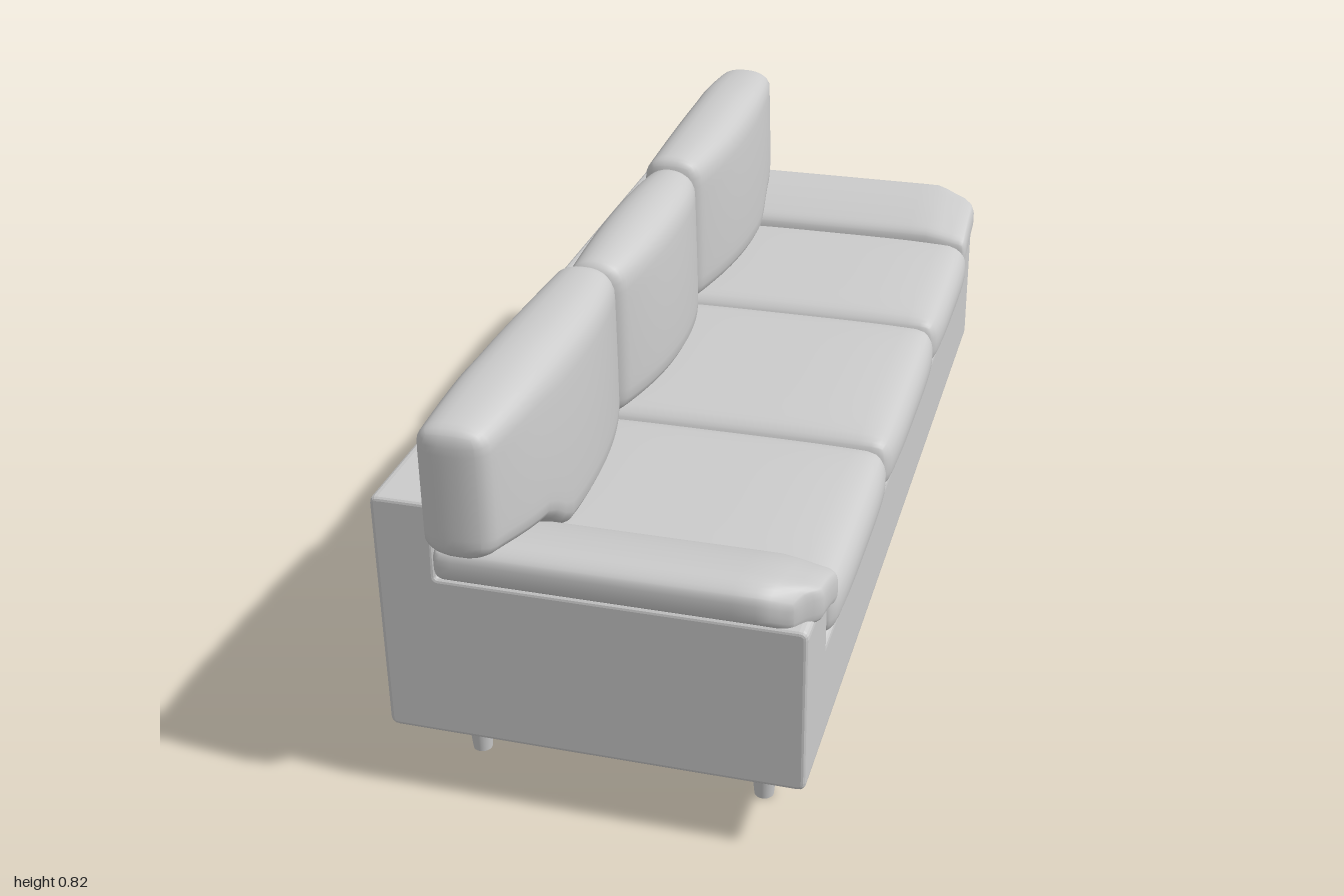
import * as THREE from 'three';
import { mergeVertices } from 'three/addons/utils/BufferGeometryUtils.js';

const grey = new THREE.MeshStandardMaterial({ color: 0xcccccc });
const smooth = THREE.MathUtils.smoothstep;

function addMesh(group, name, geometry) {
  const mesh = new THREE.Mesh(geometry, grey);
  mesh.name = name;
  group.add(mesh);
  return mesh;
}

// Rounded block between two corners, with one edge radius per axis;
// deform(p, n) may then move each point, n being its place in the block (-1..1)
function softBlock(min, max, radius, segments, deform) {
  const half = max.map((m, i) => (m - min[i]) / 2);
  const mid = max.map((m, i) => (m + min[i]) / 2);
  const geometry = new THREE.BoxGeometry(2, 2, 2, ...segments);
  const pos = geometry.attributes.position;
  for (let i = 0; i < pos.count; i++) {
    // crowd the rows towards the edges so the rounding is fine there
    const p = [pos.getX(i), pos.getY(i), pos.getZ(i)]
      .map((s, a) => half[a] * Math.sin(s * Math.PI / 2));
    const inner = p.map((c, a) => THREE.MathUtils.clamp(c, radius[a] - half[a], half[a] - radius[a]));
    const dir = p.map((c, a) => (c - inner[a]) / radius[a]);
    const len = Math.hypot(...dir);
    const local = inner.map((c, a) => c + dir[a] / len * radius[a]);
    const n = local.map((c, a) => c / half[a]);
    const out = local.map((c, a) => c + mid[a]);
    deform(out, n);
    pos.setXYZ(i, ...out);
  }
  geometry.deleteAttribute('uv');
  geometry.deleteAttribute('normal');
  const merged = mergeVertices(geometry, 1e-5);
  merged.computeVertexNormals();
  return merged;
}

// L-shaped side profile (low seat, high back) extruded across the sofa
function frameSection(seatY, z0, z1, bevel) {
  const pts = [[-0.397, 0.14], [0.375, 0.14], [0.375, seatY], [-0.285, seatY], [-0.285, 0.62], [-0.397, 0.62]]
    .map((p) => new THREE.Vector2(...p));
  const shape = new THREE.Shape();
  pts.forEach((p, i) => {
    const r = i === 3 || i === 4 ? 0.004 : 0.016;
    const toward = (q) => q.clone().sub(p).setLength(r).add(p);
    const a = toward(pts[(i + 5) % 6]);
    const b = toward(pts[(i + 1) % 6]);
    if (i === 0) shape.moveTo(a.x, a.y); else shape.lineTo(a.x, a.y);
    shape.quadraticCurveTo(p.x, p.y, b.x, b.y);
  });
  shape.closePath();
  const geometry = new THREE.ExtrudeGeometry(shape, {
    depth: z1 - z0 - 2 * bevel, curveSegments: 4, bevelEnabled: bevel > 0,
    bevelThickness: bevel, bevelSize: bevel, bevelOffset: -bevel, bevelSegments: 3,
  });
  return geometry.translate(0, 0, z0 + bevel);
}

export function createModel() {
  const sofa = new THREE.Group();
  sofa.name = 'sofa';

  // Frame: low middle between two arms, with a continuous back
  addMesh(sofa, 'seatFrame', frameSection(0.35, -0.83, 0.82, 0));
  addMesh(sofa, 'leftArmFrame', frameSection(0.47, -0.957, -0.8, 0.008));
  addMesh(sofa, 'rightArmFrame', frameSection(0.47, 0.79, 0.947, 0.008));

  // Tapered legs
  for (const x of [-0.285, 0.267]) {
    for (const z of [-0.8, 0.797]) {
      addMesh(sofa, 'leg', new THREE.CylinderGeometry(0.033, 0.018, 0.15, 24)).position.set(x, 0.075, z);
    }
  }

  // Arm pads: sloping down to the inside, with the front outer corner cut back
  for (const s of [-1, 1]) {
    const z = [0.748 * s - 0.005, 0.97 * s - 0.005].sort((a, b) => a - b);
    addMesh(sofa, 'armPad', softBlock([-0.285, 0.475, z[0]], [0.387, 0.551, z[1]], [0.02, 0.026, 0.02], [20, 8, 20],
      (p, n) => {
        const t = (n[2] * s + 1) / 2;
        const front = smooth(p[0], 0.28, 0.39);
        p[1] -= 0.06 * (1 - t) ** 2 + 0.018 * front + 0.012 * smooth(t, 0.8, 1) * (n[1] + 1) / 2;
        p[0] -= 0.035 * smooth(t, 0.65, 1) * front;
        p[2] -= s * 0.025 * smooth(t, 0.5, 1) * front;
      }));
  }

  // Seat cushions, slightly crowned
  for (const [z0, z1] of [[0.273, 0.792], [-0.302, 0.268], [-0.8, -0.307]]) {
    addMesh(sofa, 'seatCushion', softBlock([-0.28, 0.347, z0], [0.385, 0.463, z1], [0.035, 0.045, 0.035], [20, 10, 20],
      (p, n) => {
        const crown = (1 - n[0] ** 4) * (1 - n[2] ** 4);
        if (n[1] > 0) p[1] += 0.016 * crown * n[1];
        if (n[0] > 0) p[0] += 0.01 * n[0] * (1 - n[2] ** 4) * (1 - n[1] ** 2);
      }));
  }

  // Back cushions: arched tops and full fronts; the outer two step up over the arm pads
  const backs = [
    { s: 1, z: [0.28, 1], x: -0.285 },
    { s: 0, z: [-0.295, 0.275], x: -0.272 },
    { s: -1, z: [-1, -0.3], x: -0.285 },
  ];
  for (const { s, z, x } of backs) {
    addMesh(sofa, 'backCushion', softBlock([x, 0.45, z[0]], [-0.162, 0.8, z[1]], [0.055, 0.05, 0.026], [12, 18, 32],
      (p, n) => {
        const u = n[2];
        const v = (n[1] + 1) / 2;
        const bottom = 0.45 + (s ? 0.07 * smooth(p[2] * s, 0.7, 0.82) + 0.025 * smooth(p[2] * s, 0.8, 1) : 0);
        const top = s ? 0.793 + 0.012 * u * s * (1 - Math.abs(u)) + 0.022 * (1 - u * u) : 0.782 + 0.024 * (1 - u * u);
        p[1] = bottom + v * (top - bottom);
        // fuller in the middle of the front, thinner towards the top
        const f = (n[0] + 1) / 2;
        p[0] += f * (0.045 * (1 - u * u) * (1 - 0.5 * v * v) + 0.008 * (1 - u ** 4));
      }));
  }

  return sofa;
}
